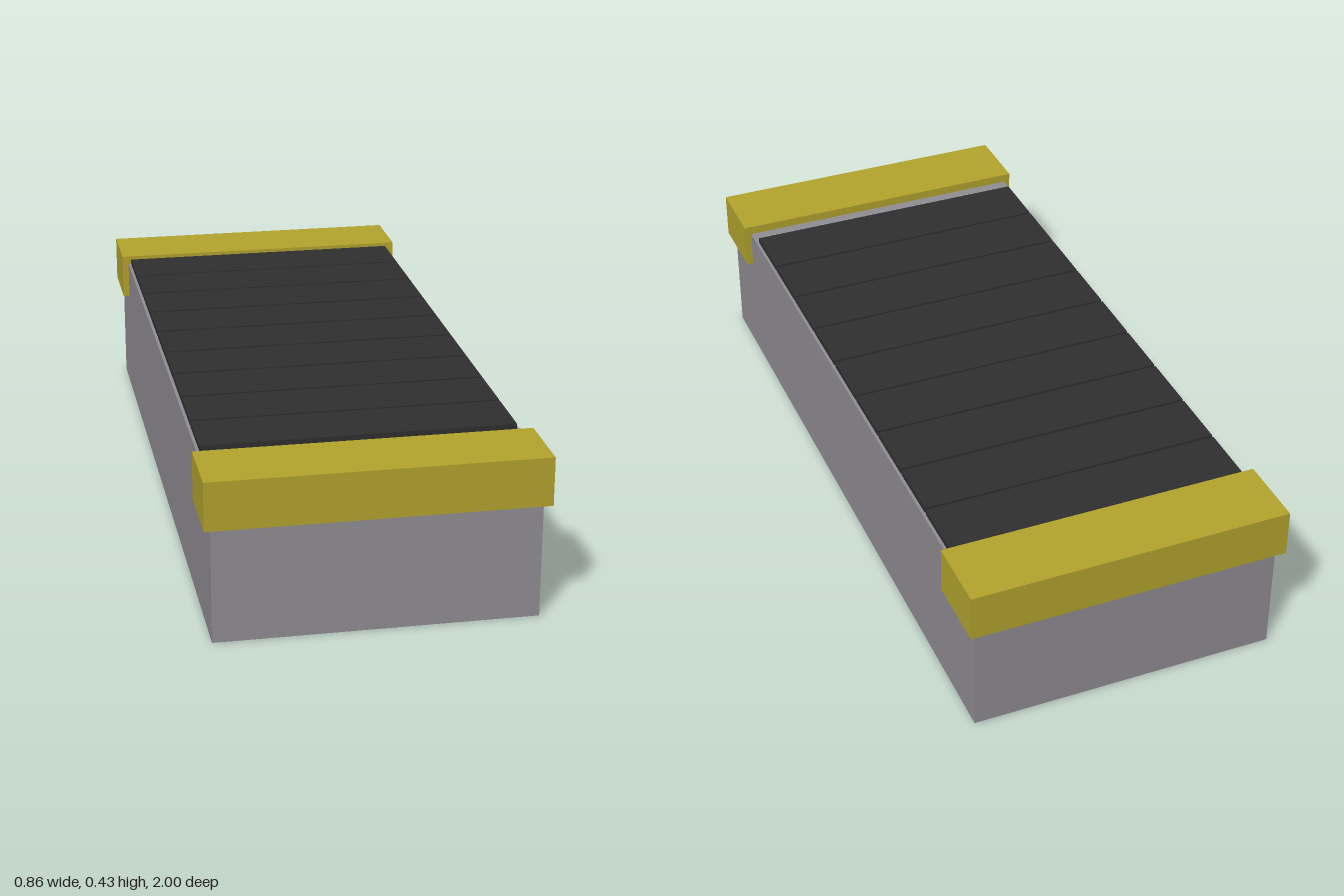
import * as THREE from 'three';

export function createModel() {
  const model = new THREE.Group();
  const grey = new THREE.MeshStandardMaterial({ color: 0x928e95 });
  const yellow = new THREE.MeshStandardMaterial({ color: 0xb5a52e });
  const black = new THREE.MeshStandardMaterial({ color: 0x303030 });

  // Box given by its size, bottom height and z centre
  function addBox(name, material, width, height, depth, bottom, z) {
    const mesh = new THREE.Mesh(new THREE.BoxGeometry(width, height, depth), material);
    mesh.name = name;
    mesh.position.set(0, bottom + height / 2, z);
    model.add(mesh);
  }

  // Solid base block
  addBox('base', grey, 0.82, 0.408, 1.956, 0, 0);

  // Overhanging end caps
  addBox('frontCap', yellow, 0.856, 0.127, 0.196, 0.305, 0.902);
  addBox('backCap', yellow, 0.856, 0.127, 0.196, 0.305, -0.902);

  // Row of thin slats, ending under the back cap
  const count = 9, pitch = 0.173, gap = 0.008, frontEdge = 0.749;
  for (let i = 0; i < count; i++) {
    const z = frontEdge - (pitch - gap) / 2 - i * pitch;
    addBox(`slat${i + 1}`, black, 0.804, 0.015, pitch - gap, 0.408, z);
  }
  return model;
}
